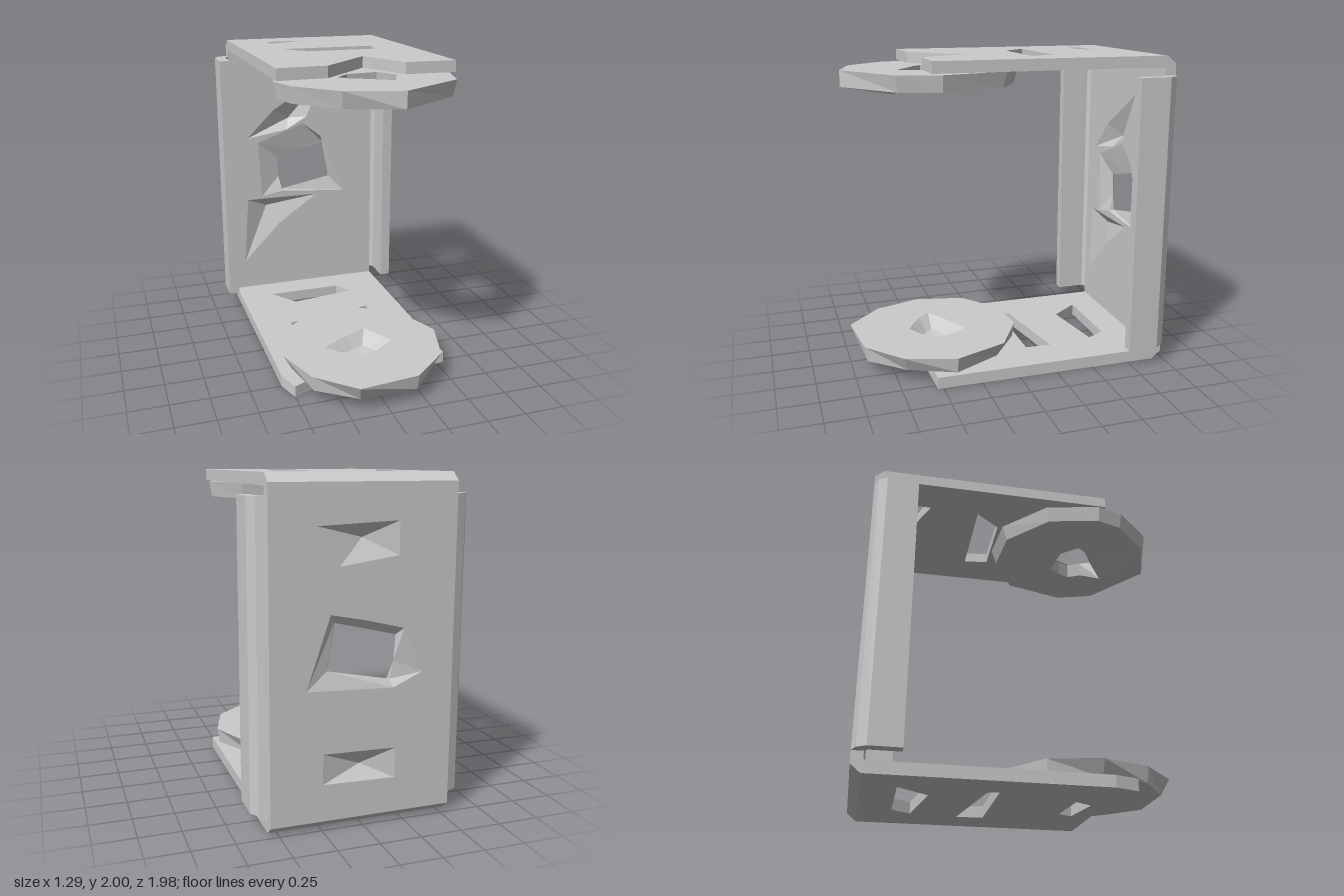
import * as THREE from 'three';

const material = new THREE.MeshStandardMaterial({
  color: 0xcccccc, flatShading: true, side: THREE.DoubleSide,
});

function addMesh(group, name, geometry) {
  const mesh = new THREE.Mesh(geometry, material);
  mesh.name = name;
  group.add(mesh);
  return mesh;
}

function makeShape(points, holes = []) {
  const shape = new THREE.Shape(points.map(([x, y]) => new THREE.Vector2(x, y)));
  for (const h of holes) shape.holes.push(new THREE.Path(h.map(([x, y]) => new THREE.Vector2(x, y))));
  return shape;
}

// Horizontal slab from an x/z outline, standing from y0 to y1
function slab(points, y0, y1, holes = []) {
  const flip = (list) => list.map(([x, z]) => [x, -z]);
  const geo = new THREE.ExtrudeGeometry(makeShape(flip(points), holes.map(flip)),
    { depth: y1 - y0, bevelEnabled: false });
  return geo.rotateX(-Math.PI / 2).translate(0, y0, 0);
}

// Skin between closed loops that have equal point counts
function loft(loops) {
  const n = loops[0].length;
  const index = [];
  for (let r = 0; r < loops.length - 1; r++) {
    for (let i = 0; i < n; i++) {
      const j = (i + 1) % n, a = r * n + i, b = r * n + j;
      index.push(a, b, b + n, a, b + n, a + n);
    }
  }
  const geo = new THREE.BufferGeometry();
  geo.setAttribute('position', new THREE.Float32BufferAttribute(loops.flat(2), 3));
  geo.setIndex(index);
  const flat = geo.toNonIndexed();
  flat.computeVertexNormals();
  return flat;
}

const atZ = (points, z) => points.map(([x, y]) => [x, y, z]);
const atY = (points, y) => points.map(([x, z]) => [x, y, z]);
const scaled = (points, s, cz = 0.43) => points.map(([x, z]) => [x * s, cz + (z - cz) * s]);

// Faceted dent: an outline drawn in to one point
const dent = (outline, z, apex) => loft([atZ(outline, z), outline.map(() => apex)]);

function makeBackPlate() {
  const group = new THREE.Group();
  group.name = 'backPlate';
  const zF = -0.92, zB = -0.99;
  const rect = [[-0.55, 0.07], [0.55, 0.07], [0.55, 1.93], [-0.55, 1.93]];

  // Central opening, skewed through the sheet
  const front = [[-0.35, 1.23], [0, 1.36], [0.14, 1.25], [0.32, 0.8], [-0.17, 0.84], [-0.33, 0.81]];
  const middle = [[-0.2, 1.1], [0, 1.15], [0.17, 1.19], [0.21, 0.92], [-0.17, 0.845], [-0.19, 0.95]];
  const back = [[-0.24, 1.14], [0, 1.2], [0.2, 1.24], [0.34, 0.82], [-0.18, 0.8], [-0.36, 0.88]];

  // Front dents and rear slot recesses
  const upperDent = [[0.17, 1.72], [-0.23, 1.47], [-0.43, 1.27], [-0.13, 1.32], [0.03, 1.41]];
  const lowerDent = [[-0.48, 0.29], [-0.2, 0.58], [0.1, 0.79], [-0.33, 0.79], [-0.44, 0.79]];
  const upperSlot = [[0.28, 1.72], [-0.2, 1.74], [-0.2, 1.55], [0.15, 1.5]];
  const lowerSlot = [[0.24, 0.45], [-0.2, 0.44], [-0.2, 0.26], [0.24, 0.27]];

  addMesh(group, 'frontFace', new THREE.ShapeGeometry(
    makeShape(rect, [front, upperDent, lowerDent])).translate(0, 0, zF));
  addMesh(group, 'rearFace', new THREE.ShapeGeometry(
    makeShape(rect, [back, upperSlot, lowerSlot])).translate(0, 0, zB));
  addMesh(group, 'plateEdge', loft([atZ(rect, zB), atZ(rect, zF)]));
  addMesh(group, 'centralOpening', loft([atZ(front, zF), atZ(middle, -0.96), atZ(back, zB)]));
  addMesh(group, 'upperDent', dent(upperDent, zF, [-0.1, 1.4, -0.975]));
  addMesh(group, 'lowerDent', dent(lowerDent, zF, [-0.29, 0.72, -0.975]));
  addMesh(group, 'upperSlot', dent(upperSlot, zB, [0, 1.65, -0.93]));
  addMesh(group, 'lowerSlot', dent(lowerSlot, zB, [0, 0.35, -0.93]));
  return group;
}

export function createModel() {
  const model = new THREE.Group();
  model.name = 'bracket';
  model.add(makeBackPlate());

  // Rounded stiffening lips down both sides
  const lip = [[0.55, -0.99], [0.61, -0.965], [0.645, -0.91], [0.645, -0.715],
    [0.575, -0.715], [0.575, -0.9], [0.55, -0.92]];
  for (const [name, s] of [['leftLip', 1], ['rightLip', -1]]) {
    addMesh(model, name, slab(lip.map(([x, z]) => [x * s, z]), 0.125, 1.88));
  }

  // Top arm with its two slots and the notch at the front
  addMesh(model, 'topArm', slab(
    [[-0.55, -0.93], [0.55, -0.93], [0.545, 0.535], [0.23, 0.525], [0.08, 0.2], [-0.24, 0.52], [-0.545, 0.535]],
    1.93, 2, [
      [[-0.31, -0.72], [-0.04, -0.72], [-0.31, -0.61]],
      [[-0.3, -0.29], [0.31, -0.29], [0.29, -0.13], [-0.17, -0.13]],
    ]));

  // Bottom arm with its slots and the pivot recess
  addMesh(model, 'bottomArm', slab(
    [[-0.55, -0.93], [0.55, -0.93], [0.545, 0.535], [-0.3, 0.56], [-0.5, 0.65], [-0.55, 0.5]],
    0, 0.075, [
      [[-0.32, -0.72], [0.2, -0.72], [0.27, -0.6], [-0.18, -0.53]],
      [[-0.32, -0.13], [-0.3, -0.2], [0.3, -0.3], [0.29, -0.13]],
      [[-0.2, 0.36], [0.1, 0.33], [0.14, 0.42], [-0.14, 0.47]],
    ]));

  // Chamfered bends between the arms and the back plate
  const bend = [[-0.93, 2], [-0.99, 1.95], [-0.99, 1.93], [-0.92, 1.93]];
  for (const [name, fold] of [['topBend', (y) => y], ['bottomBend', (y) => 2 - y]]) {
    const ends = [-0.55, 0.55].map((x) => bend.map(([z, y]) => [x, fold(y), z]));
    const centres = [-0.55, 0.55].map((x) => bend.map(() => [x, fold(1.955), -0.955]));
    addMesh(model, name, loft([centres[0], ends[0], ends[1], centres[1]]));
  }

  // Upper pivot pad: a faceted ring with a bulging underside
  const topRim = [[-0.55, 0.49], [-0.5, 0.66], [-0.28, 0.9], [0.05, 0.99], [0.46, 0.73],
    [0.535, 0.47], [0.42, 0.05], [0.12, -0.12], [-0.2, -0.1], [-0.48, 0.15]];
  const topHole = [[-0.16, 0.45], [-0.12, 0.5], [0, 0.57], [0.12, 0.65], [0.16, 0.55],
    [0.2, 0.47], [0.17, 0.4], [0.12, 0.33], [-0.07, 0.35], [-0.12, 0.4]];
  const underHole = atY(scaled(topHole, 1.1), 1.83);
  underHole[3] = [0.1, 1.77, 0.68];
  const topLoop = atY(topRim, 1.92);
  addMesh(model, 'upperPivotPad', loft([
    topLoop,
    topRim.map(([x, z], i) => [x * 0.97, 1.82, i === 3 ? z : 0.43 + (z - 0.43) * 0.94]),
    underHole, atY(topHole, 1.92), topLoop,
  ]));

  // Lower pivot pad: tapered rim and a closed recess in its top
  const lowRim = [[-0.52, 0.45], [-0.42, 0.75], [-0.19, 0.97], [0.2, 0.93], [0.44, 0.72],
    [0.535, 0.4], [0.4, 0.06], [0.1, -0.11], [-0.2, -0.08], [-0.45, 0.12]];
  const recess = [[-0.24, 0.42], [-0.17, 0.5], [-0.08, 0.56], [0, 0.6], [0.1, 0.54],
    [0.2, 0.46], [0.17, 0.38], [0.09, 0.24], [-0.06, 0.31], [-0.16, 0.37]];
  addMesh(model, 'lowerPivotPad', loft([
    recess.map(() => [0, 0.1, 0.44]),
    atY(scaled(recess, 0.5), 0.11),
    atY(recess, 0.18),
    atY(lowRim, 0.18),
    lowRim.map(([x, z], i) => {
      const s = i % 2 ? 0.97 : 0.9;
      return [x * s, 0.08, 0.43 + (z - 0.43) * s];
    }),
    recess.map(() => [0, 0.08, 0.43]),
  ]));

  return model;
}
